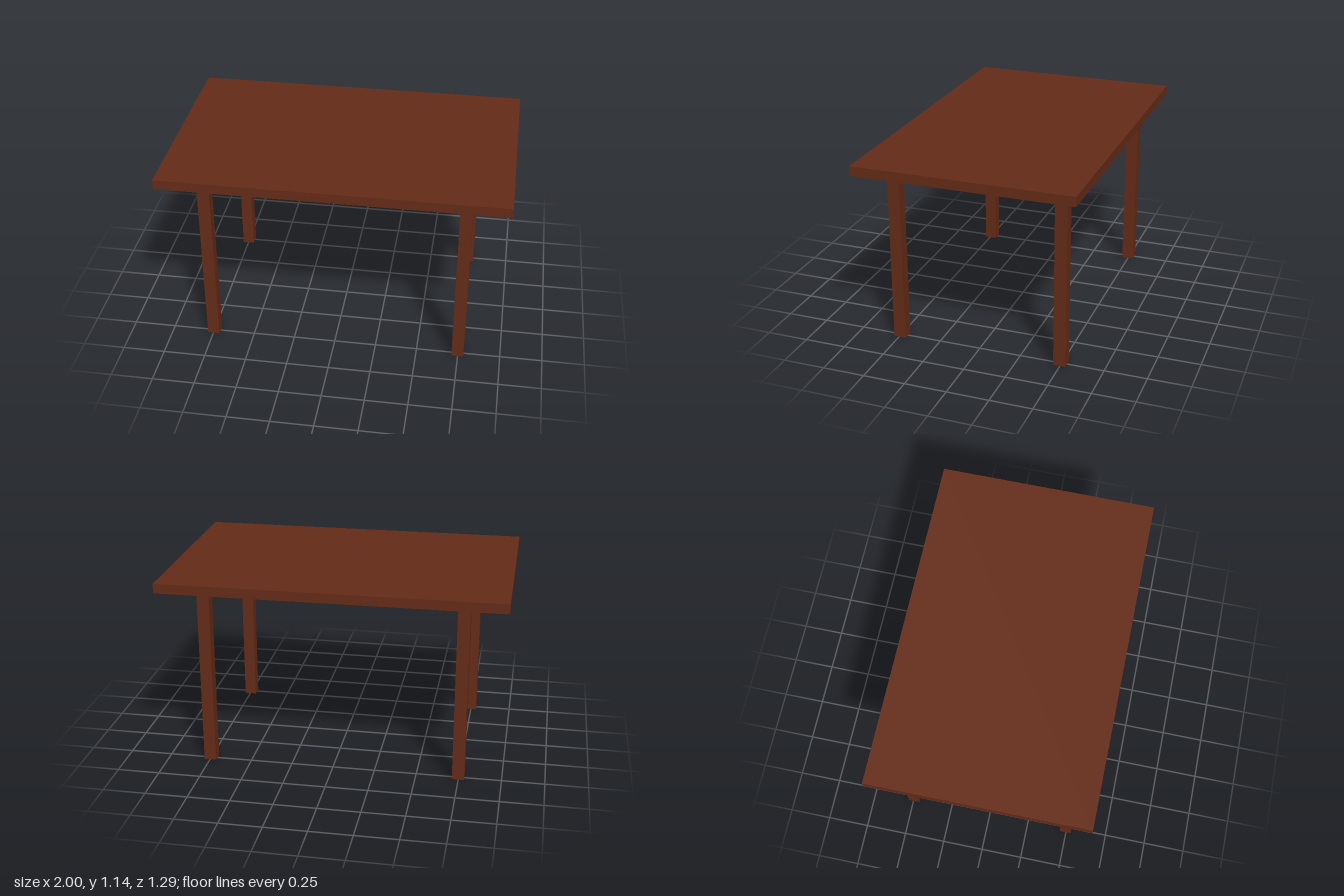
import * as THREE from 'three';

export function createModel() {
  const table = new THREE.Group();
  table.name = 'table';
  const wood = new THREE.MeshStandardMaterial({ color: 0x652b17 });

  const topHeight = 1.143, topThickness = 0.057;
  const legHeight = topHeight - topThickness, legWidth = 0.071;

  // Flat rectangular top
  const top = new THREE.Mesh(new THREE.BoxGeometry(2, topThickness, 1.286), wood);
  top.name = 'tableTop';
  top.position.y = topHeight - topThickness / 2;
  table.add(top);

  // Four square legs, inset from the corners
  const legGeometry = new THREE.BoxGeometry(legWidth, legHeight, legWidth);
  for (const [side, sx] of [['Left', 1], ['Right', -1]]) {
    for (const [end, sz] of [['front', 1], ['back', -1]]) {
      const leg = new THREE.Mesh(legGeometry, wood);
      leg.name = `${end}${side}Leg`;
      leg.position.set(sx * 0.748, legHeight / 2, sz * 0.495);
      table.add(leg);
    }
  }
  return table;
}
